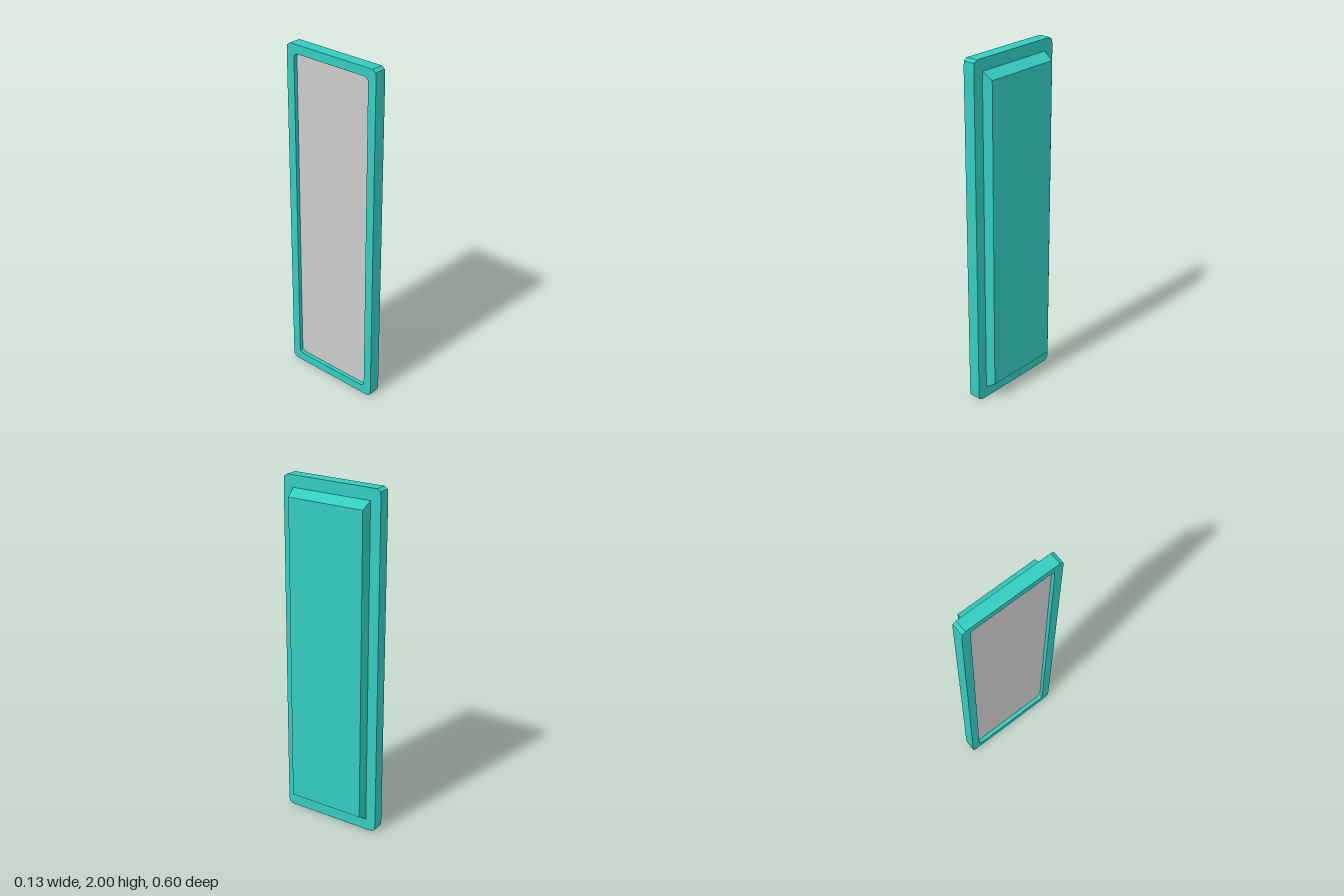
import * as THREE from 'three';

const teal = new THREE.MeshStandardMaterial({ color: 0x33ccc0, flatShading: true });
const grey = new THREE.MeshStandardMaterial({ color: 0xcccccc, flatShading: true });

// Rectangle centred on the origin with two-step chamfered corners
function outline(halfW, halfH, cornerW, cornerH) {
  const corner = [
    [halfW, halfH - cornerH],
    [halfW - cornerW * 0.13, halfH - cornerH * 0.28],
    [halfW - cornerW, halfH],
  ];
  const points = [];
  for (const [sx, sy] of [[1, 1], [-1, 1], [-1, -1], [1, -1]]) {
    const run = sx * sy > 0 ? corner : [...corner].reverse();
    for (const [x, y] of run) points.push(new THREE.Vector2(x * sx, y * sy));
  }
  return points;
}

// Extrude a shape along x, from x0 to x1
function slab(name, shape, x0, x1, material) {
  const geometry = new THREE.ExtrudeGeometry(shape, { depth: x1 - x0, bevelEnabled: false });
  geometry.rotateY(Math.PI / 2).translate(x0, 1, 0);
  const mesh = new THREE.Mesh(geometry, material);
  mesh.name = name;
  return mesh;
}

export function createModel() {
  const model = new THREE.Group();
  model.name = 'panel';
  const outer = outline(0.3, 1, 0.023, 0.05);
  const inner = outline(0.25, 0.95, 0.02, 0.045);

  // Solid plate, with a rim around the recess on its -x side
  model.add(slab('plate', new THREE.Shape(outer), -0.04, 0.005, teal));
  const rim = new THREE.Shape(outer);
  rim.holes.push(new THREE.Path(inner));
  model.add(slab('rim', rim, -0.065, -0.04, teal));

  // Grey sheet at the bottom of the recess
  model.add(slab('recessedSheet', new THREE.Shape(inner), -0.042, -0.038, grey));

  // Raised panel with sloping edges on the +x side
  const geometry = new THREE.BoxGeometry(0.058, 1.866, 0.478);
  const p = geometry.attributes.position;
  for (let i = 0; i < p.count; i++) {
    if (p.getX(i) > 0) p.setXYZ(i, p.getX(i), Math.sign(p.getY(i)) * 0.895, Math.sign(p.getZ(i)) * 0.23);
  }
  geometry.computeVertexNormals();
  const raised = new THREE.Mesh(geometry, teal);
  raised.name = 'raisedPanel';
  raised.position.set(0.034, 1, 0);
  model.add(raised);

  return model;
}
